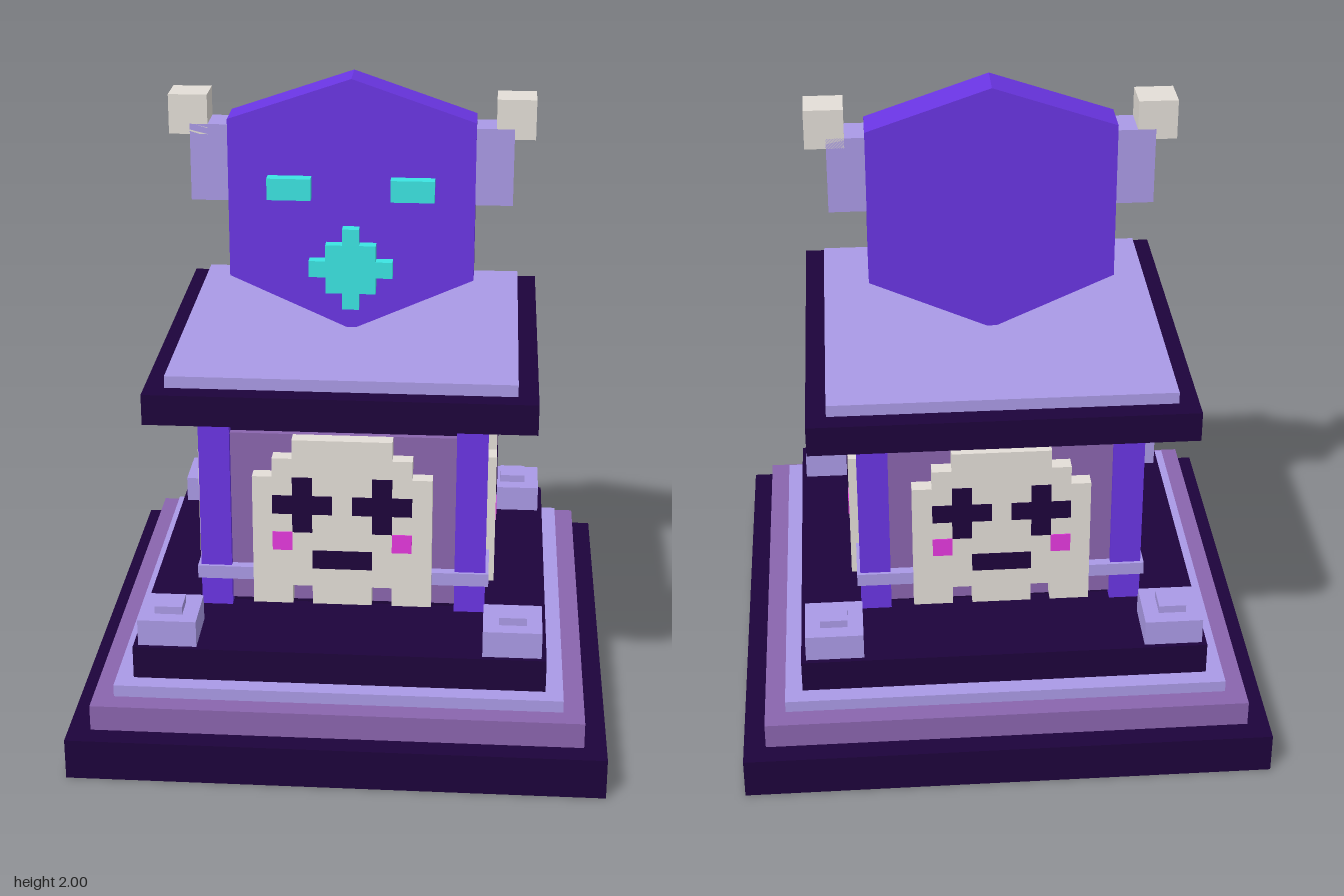
import * as THREE from 'three';

const mat = (name, color) => {
  const m = new THREE.MeshStandardMaterial({ color });
  m.name = name;
  return m;
};

export function createModel() {
  const dark = mat('darkPlum', 0x1d033b);
  const mauve = mat('mauve', 0x8a65ae);
  const lilac = mat('lilac', 0xaa9ae6);
  const bone = mat('bone', 0xe3ded7);
  const violet = mat('violet', 0x6a35e3);
  const teal = mat('teal', 0x3be4e2);
  const pink = mat('pink', 0xe439dd);

  const model = new THREE.Group();
  model.name = 'shrine';

  // Box given by its limits on each axis
  const box = (parent, name, material, x0, x1, y0, y1, z0, z1) => {
    const mesh = new THREE.Mesh(new THREE.BoxGeometry(x1 - x0, y1 - y0, z1 - z0), material);
    mesh.position.set((x0 + x1) / 2, (y0 + y1) / 2, (z0 + z1) / 2);
    mesh.name = name;
    parent.add(mesh);
  };
  // Square slab centred on the vertical axis
  const slab = (name, material, half, y0, y1) =>
    box(model, name, material, -half, half, y0, y1, -half, half);
  // Flat outline pushed out along z
  const plate = (parent, name, material, points, z0, z1) => {
    const shape = new THREE.Shape(points.map(([x, y]) => new THREE.Vector2(x, y)));
    const geometry = new THREE.ExtrudeGeometry(shape, { depth: z1 - z0, bevelEnabled: false });
    geometry.translate(0, 0, z0);
    const mesh = new THREE.Mesh(geometry, material);
    mesh.name = name;
    parent.add(mesh);
  };
  // Right half of an outline, bottom to top, mirrored into a closed one
  const mirrored = (half) => [
    ...half,
    ...half.filter(([x]) => x > 0).reverse().map(([x, y]) => [-x, y]),
  ];
  // Range a..b on the positive or negative side of an axis
  const span = (s, a, b) => (s > 0 ? [a, b] : [-b, -a]);

  // Stepped base
  slab('baseStep', dark, 0.818, 0, 0.13);
  slab('secondStep', mauve, 0.75, 0.13, 0.212);
  slab('thirdStep', lilac, 0.686, 0.212, 0.25);
  slab('topStep', dark, 0.632, 0.25, 0.355);

  // Hovering body and roof
  slab('bodyCore', dark, 0.4, 0.41, 1.075);
  slab('wallPanel', mauve, 0.42, 0.43, 0.988);
  slab('bodyBand', lilac, 0.45, 0.507, 0.549);
  slab('roof', dark, 0.584, 1.075, 1.17);
  slab('roofTop', lilac, 0.523, 1.17, 1.207);

  // Pillars and corner stones
  for (const sx of [-1, 1]) {
    for (const sz of [-1, 1]) {
      const corner = (name, material, a, b, y0, y1) =>
        box(model, name, material, ...span(sx, a, b), y0, y1, ...span(sz, a, b));
      corner('pillar', violet, 0.345, 0.44, 0.413, 1.075);
      corner('cornerStone', lilac, 0.437, 0.617, 0.355, 0.44);
      corner('cornerStud', lilac, 0.485, 0.57, 0.44, 0.465);
    }
  }

  // Pixel mask on every wall, drawn on a grid of cells
  const u = 0.061;
  const floor = 0.439;
  const maskOutline = mirrored([
    [1.5, 0], [1.5, 1], [2.5, 1], [2.5, 0], [4.5, 0], [4.5, 7],
    [3.5, 7], [3.5, 8], [2.5, 8], [2.5, 9],
  ]).map(([x, y]) => [x * u, floor + y * u]);
  for (let side = 0; side < 4; side++) {
    const mask = new THREE.Group();
    mask.name = 'wallMask';
    mask.rotation.y = (side * Math.PI) / 2;
    plate(mask, 'maskFace', bone, maskOutline, 0.41, 0.467);
    const cell = (name, material, x0, x1, y0, y1) =>
      box(mask, name, material, x0 * u, x1 * u, floor + y0 * u, floor + y1 * u, 0.463, 0.47);
    for (const s of [-1, 1]) {
      const c = s * 2;
      cell('maskEyeBar', dark, c - 1.5, c + 1.5, 5, 6);
      cell('maskEyeTop', dark, c - 0.5, c + 0.5, 6, 7);
      cell('maskEyeBottom', dark, c - 0.5, c + 0.5, 4, 5);
      cell('maskCheek', pink, s * 3 - 0.5, s * 3 + 0.5, 3, 4);
    }
    cell('maskMouth', dark, -1.5, 1.5, 2, 3);
    model.add(mask);
  }

  // Head with ears, eyes and stepped mouth
  const head = new THREE.Group();
  head.name = 'head';
  model.add(head);
  plate(head, 'headPlate', violet,
    mirrored([[0, 1.2], [0.38, 1.37], [0.38, 1.87], [0, 2]]), -0.063, 0.063);
  for (const s of [-1, 1]) {
    box(head, 'ear', lilac, ...span(s, 0.37, 0.495), 1.612, 1.852, -0.058, 0.058);
    box(head, 'earTip', bone, ...span(s, 0.44, 0.559), 1.82, 1.943, -0.058, 0.058);
    box(head, 'eye', teal, ...span(s, 0.122, 0.257), 1.63, 1.698, 0.069, 0.109);
  }
  plate(head, 'mouth', teal, mirrored([
    [0.5, -2.5], [0.5, -1.5], [1.5, -1.5], [1.5, -0.5], [2.5, -0.5],
    [2.5, 0.5], [1.5, 0.5], [1.5, 1.5], [0.5, 1.5], [0.5, 2.5],
  ]).map(([x, y]) => [x * 0.052, 1.41 + y * 0.052]), 0.069, 0.106);

  return model;
}
